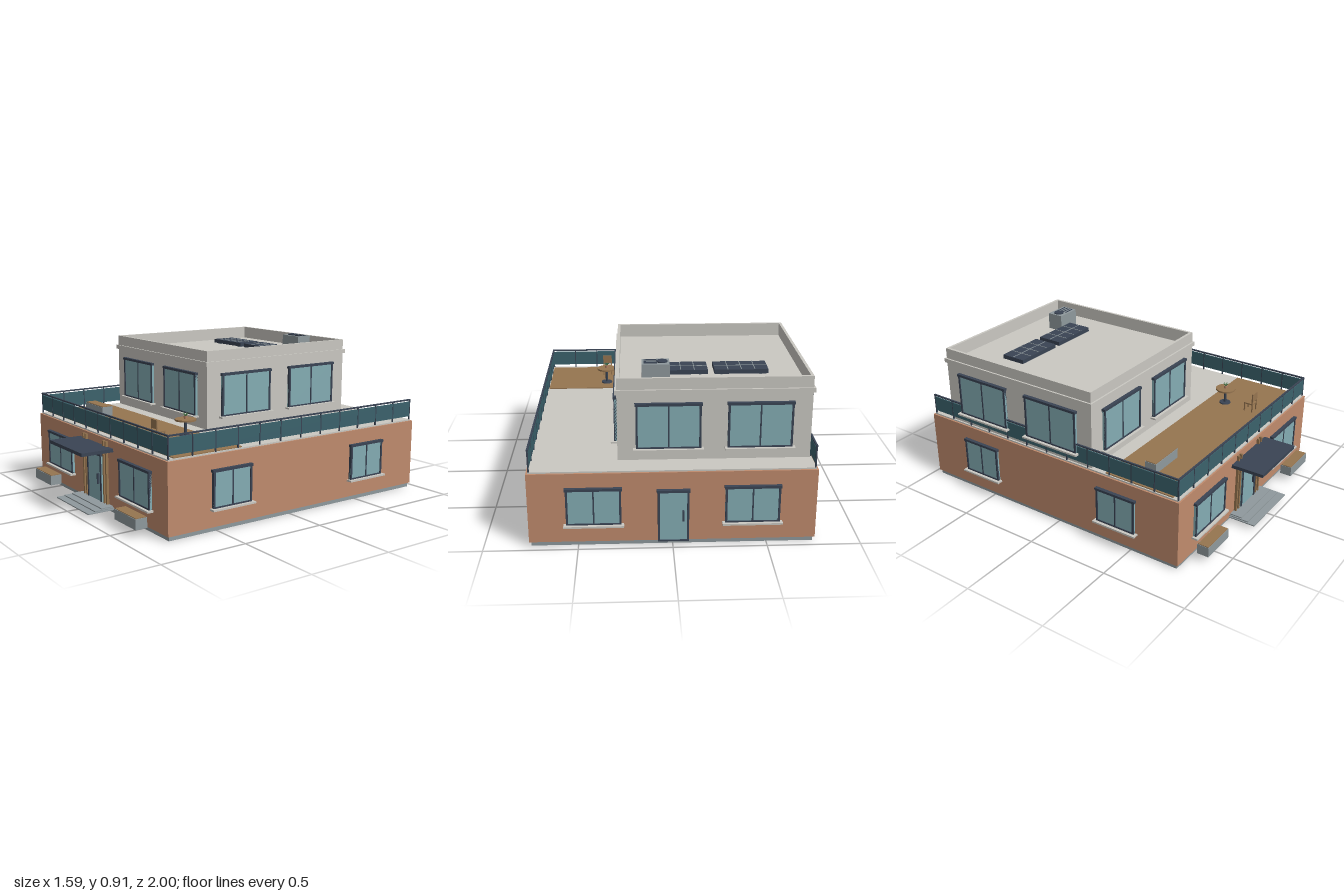
import * as THREE from 'three';

const paint = (name, color) => {
  const m = new THREE.MeshStandardMaterial({ color });
  m.name = name;
  return m;
};

export function createModel() {
  const terracotta = paint('terracotta', 0xc08b6d);
  const plaster = paint('plaster', 0xcac8c2);
  const concrete = paint('concrete', 0x8f999d);
  const navy = paint('navy frame', 0x3a4454);
  const glass = paint('window glass', 0x84adb4);
  const railGlass = paint('railing glass', 0x3b626c);
  const wood = paint('wood', 0x967550);
  const green = paint('leaf green', 0x4b7a4c);

  const house = new THREE.Group();
  house.name = 'house';

  const group = (name, parent = house) => {
    const g = new THREE.Group();
    g.name = name;
    parent.add(g);
    return g;
  };
  // Box given by its extents along each axis
  const box = (name, mat, [x0, x1], [y0, y1], [z0, z1], parent = house) => {
    const m = new THREE.Mesh(new THREE.BoxGeometry(x1 - x0, y1 - y0, z1 - z0), mat);
    m.position.set((x0 + x1) / 2, (y0 + y1) / 2, (z0 + z1) / 2);
    m.name = name;
    parent.add(m);
    return m;
  };
  const cylinder = (name, mat, rTop, rBottom, [y0, y1], x, z, parent = house) => {
    const m = new THREE.Mesh(new THREE.CylinderGeometry(rTop, rBottom, y1 - y0, 24), mat);
    m.position.set(x, (y0 + y1) / 2, z);
    m.name = name;
    parent.add(m);
    return m;
  };

  // Ground floor
  box('foundation', concrete, [-0.75, 0.75], [0, 0.03], [-0.95, 0.797]);
  box('groundFloorWalls', terracotta, [-0.76, 0.76], [0.025, 0.418], [-0.96, 0.807]);
  box('terraceSlab', plaster, [-0.75, 0.75], [0.41, 0.426], [-0.95, 0.797]);
  box('terraceDeck', wood, [-0.742, 0.742], [0.42, 0.431], [0.33, 0.76]);

  // Upper floor with a recessed roof behind a parapet
  box('upperFloorWalls', plaster, [-0.74, 0.287], [0.42, 0.805], [-0.813, 0.24]);
  const ring = (name, [x0, x1], [y0, y1], [z0, z1], t) => {
    const g = group(name);
    box(name + 'Front', plaster, [x0, x1], [y0, y1], [z1 - t, z1], g);
    box(name + 'Back', plaster, [x0, x1], [y0, y1], [z0, z0 + t], g);
    box(name + 'Left', plaster, [x1 - t, x1], [y0, y1], [z0 + t, z1 - t], g);
    box(name + 'Right', plaster, [x0, x0 + t], [y0, y1], [z0 + t, z1 - t], g);
  };
  ring('cornice', [-0.75, 0.297], [0.795, 0.82], [-0.823, 0.25], 0.02);
  ring('parapet', [-0.74, 0.287], [0.8, 0.882], [-0.813, 0.24], 0.016);

  // Framed opening, built facing +z with its bottom centre at the origin
  const opening = (name, w, h, isDoor) => {
    const g = group(name);
    const r = w / 2, t = 0.011, d = 0.018;
    box('glass', glass, [-r, r], [0, h], [-0.004, 0.013], g);
    box('frameLeft', navy, [r - t, r], [0, h], [0, d], g);
    box('frameRight', navy, [-r, t - r], [0, h], [0, d], g);
    box('frameTop', navy, [-r - 0.005, r + 0.005], [h - t, h + 0.003], [0, d + 0.003], g);
    box('frameBottom', navy, [-r, r], [0, t * 0.7], [0, d], g);
    if (isDoor) {
      box('handle', navy, [0.048, 0.056], [0.12, 0.18], [0.013, 0.026], g);
    } else {
      box('mullion', navy, [-0.004, 0.004], [0, h], [0, d - 0.002], g);
      box('sill', plaster, [-r - 0.014, r + 0.014], [-0.01, 0], [-0.004, 0.036], g);
    }
    return g;
  };
  const place = (o, x, y, z, angle) => {
    o.position.set(x, y, z);
    o.rotation.y = angle;
  };
  const Q = Math.PI / 2;

  // Ground floor windows
  for (const x of [-0.445, 0.445]) place(opening('lowerFrontWindow', 0.32, 0.206), x, 0.13, 0.807, 0);
  for (const x of [-0.42, 0.415]) place(opening('lowerBackWindow', 0.29, 0.206), x, 0.13, -0.96, 2 * Q);
  for (const s of [-1, 1])
    for (const z of [0.412, -0.563]) place(opening('lowerSideWindow', 0.25, 0.206), s * 0.76, 0.13, z, s * Q);

  // Upper floor windows
  for (const x of [-0.468, 0.017]) {
    place(opening('upperFrontWindow', 0.345, 0.25), x, 0.495, 0.24, 0);
    place(opening('upperBackWindow', 0.345, 0.25), x, 0.495, -0.813, 2 * Q);
  }
  for (const z of [-0.036, -0.538]) {
    place(opening('upperLeftWindow', 0.355, 0.25), 0.287, 0.495, z, Q);
    place(opening('upperRightWindow', 0.355, 0.25), -0.74, 0.495, z, -Q);
  }

  // Doors, canopy, slats and steps
  place(opening('frontDoor', 0.165, 0.295, true), -0.003, 0.025, 0.807, 0);
  place(opening('backDoor', 0.165, 0.295, true), -0.003, 0.025, -0.96, 2 * Q);
  box('canopy', navy, [-0.2, 0.2], [0.356, 0.375], [0.8, 1]);
  for (const x of [-0.137, -0.107, 0.104, 0.134])
    box('entranceSlat', wood, [x - 0.006, x + 0.006], [0.04, 0.406], [0.8, 0.822]);
  for (let i = 0; i < 3; i++)
    box('step', concrete, [-0.2 + i * 0.008, 0.2 - i * 0.008], [0.025 + i * 0.006, 0.031 + i * 0.006],
      [0.79, 0.97 - i * 0.045]);

  // Planters: stone trough with a soil-coloured top
  const planter = (x0, x1, y0, z0) => {
    const g = group('planter');
    box('trough', concrete, [x0, x1], [y0, y0 + 0.058], [z0, z0 + 0.07], g);
    box('planterTop', wood, [x0 + 0.003, x1 - 0.003], [y0 + 0.056, y0 + 0.062], [z0 + 0.003, z0 + 0.067], g);
  };
  planter(-0.62, -0.4, 0.043, 0.843);
  planter(0.392, 0.615, 0.043, 0.843);
  planter(-0.602, -0.382, 0.43, 0.492);

  // Terrace railing on the front and both sides
  const railing = (name, length, segments) => {
    const g = group(name);
    const r = length / 2;
    box('railPanel', railGlass, [-r, r], [0.445, 0.536], [-0.003, 0.003], g);
    box('handrail', navy, [-r - 0.004, r + 0.004], [0.543, 0.551], [-0.005, 0.005], g);
    for (let i = 0; i <= segments; i++) {
      const x = -r + (length * i) / segments;
      box('post', navy, [x - 0.003, x + 0.003], [0.424, 0.545], [-0.004, 0.004], g);
    }
    return g;
  };
  railing('frontRailing', 1.49, 10).position.z = 0.793;
  for (const s of [-1, 1]) place(railing('sideRailing', 1.738, 12), s * 0.745, 0, -0.076, s * Q);

  // Solar panels with a grid of cells
  for (const x0 of [-0.542, -0.21]) {
    const g = group('solarPanel');
    const x1 = x0 + 0.296;
    box('panel', navy, [x0, x1], [0.812, 0.836], [-0.55, -0.4], g);
    for (let i = 1; i < 4; i++) {
      const x = x0 + (0.296 * i) / 4;
      box('cellLine', concrete, [x - 0.002, x + 0.002], [0.834, 0.838], [-0.547, -0.403], g);
    }
    box('cellLine', concrete, [x0 + 0.003, x1 - 0.003], [0.834, 0.838], [-0.477, -0.473], g);
    for (const x of [x0 + 0.04, x1 - 0.04])
      box('panelFoot', concrete, [x - 0.006, x + 0.006], [0.803, 0.813], [-0.54, -0.41], g);
  }

  // Rooftop cooling unit
  const unit = group('coolingUnit');
  box('casing', concrete, [0.003, 0.152], [0.803, 0.904], [-0.652, -0.553], unit);
  cylinder('fan', navy, 0.03, 0.03, [0.9, 0.91], 0.043, -0.602, unit);
  for (let i = 0; i < 4; i++) {
    const z = -0.632 + i * 0.02;
    box('vent', navy, [0.07, 0.142], [0.902, 0.907], [z - 0.003, z + 0.003], unit);
  }

  // Terrace table with a potted plant
  const table = group('terraceTable');
  cylinder('tableFoot', navy, 0.033, 0.035, [0.43, 0.438], 0.37, 0.442, table);
  cylinder('tableStem', navy, 0.008, 0.008, [0.436, 0.522], 0.37, 0.442, table);
  cylinder('tableTop', wood, 0.06, 0.06, [0.52, 0.53], 0.37, 0.442, table);
  cylinder('pot', terracotta, 0.012, 0.009, [0.53, 0.547], 0.37, 0.442, table);
  for (let i = 0; i < 6; i++) {
    const a = (i * Math.PI) / 3;
    const leaf = new THREE.Mesh(new THREE.ConeGeometry(0.004, 0.03, 5), green);
    leaf.name = 'leaf';
    leaf.position.set(0.37 + Math.cos(a) * 0.01, 0.556, 0.442 + Math.sin(a) * 0.01);
    leaf.rotation.set(Math.sin(a) * 0.7, 0, -Math.cos(a) * 0.7);
    table.add(leaf);
  }

  // Terrace chair facing the table
  const chair = group('terraceChair');
  box('seat', wood, [0.34, 0.398], [0.478, 0.486], [0.59, 0.648], chair);
  box('chairBack', wood, [0.34, 0.398], [0.5, 0.55], [0.64, 0.648], chair);
  for (const x of [0.34, 0.391]) {
    box('frontLeg', wood, [x, x + 0.007], [0.43, 0.48], [0.59, 0.597], chair);
    box('rearLeg', wood, [x, x + 0.007], [0.43, 0.51], [0.641, 0.648], chair);
  }

  return house;
}
